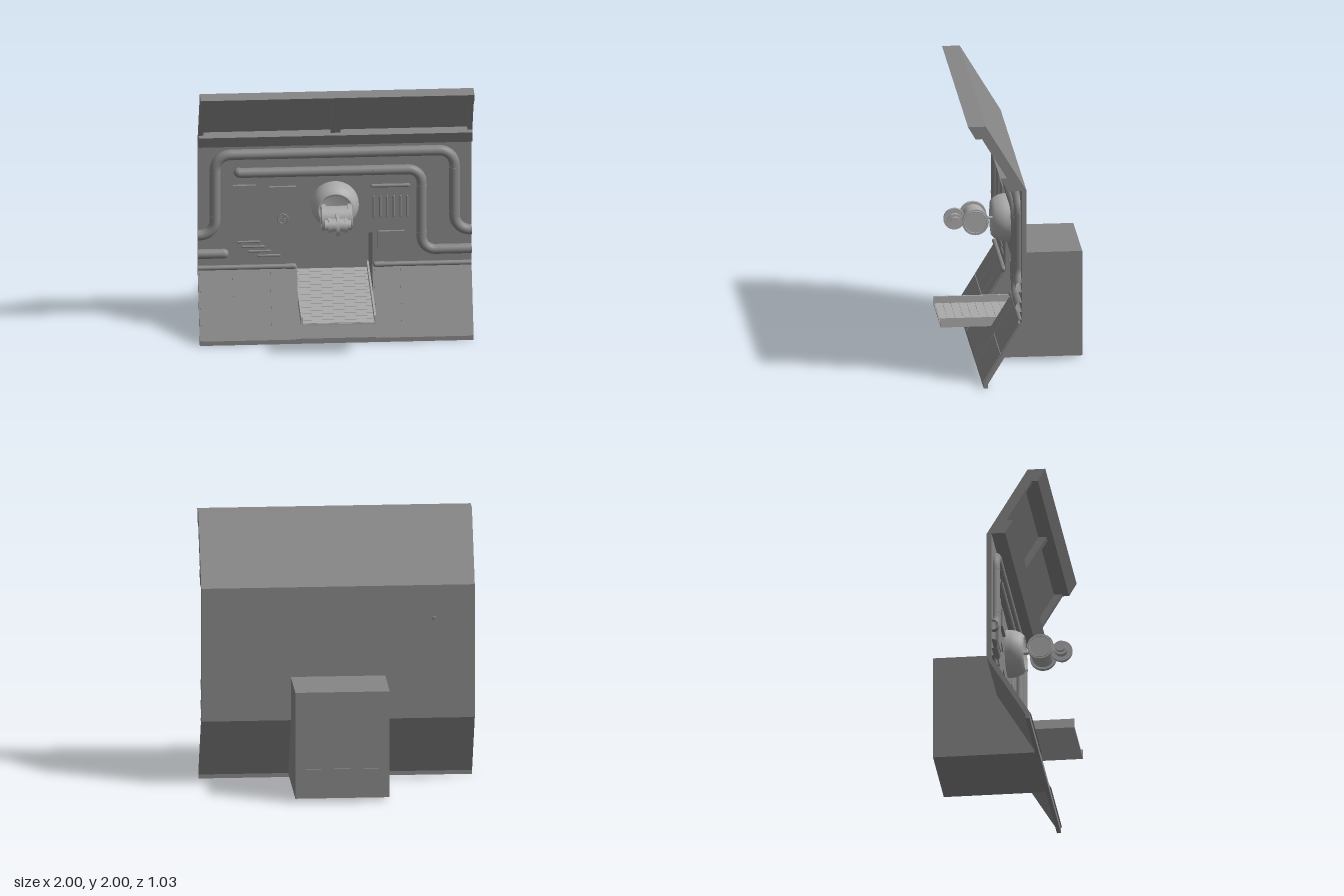
import * as THREE from 'three';

const paint = color => new THREE.MeshStandardMaterial({ color, side: THREE.DoubleSide });
const dark = paint(0x868686), light = paint(0xaaaaaa);

export function createModel() {
  const root = new THREE.Group();
  const add = (name, geo, x = 0, y = 0, z = 0, mat = dark) => {
    const m = new THREE.Mesh(geo, mat);
    m.name = name;
    m.position.set(x, y, z);
    root.add(m);
    return m;
  };
  // Extrude a [z, y] cross-section from x0 to x1
  const slab = (name, pts, x0, x1) => {
    const shape = new THREE.Shape(pts.map(([z, y]) => new THREE.Vector2(z, y)));
    const geo = new THREE.ExtrudeGeometry(shape, { depth: x1 - x0, bevelEnabled: false });
    return add(name, geo.rotateY(-Math.PI / 2).translate(x1, 0, 0));
  };
  const box = (name, x0, x1, y0, y1, z0, z1, mat) =>
    add(name, new THREE.BoxGeometry(x1 - x0, y1 - y0, z1 - z0), (x0 + x1) / 2, (y0 + y1) / 2, (z0 + z1) / 2, mat);

  // Front and back faces of the sloping lower wall
  const front = y => 0.27 - (y - 0.04) * 0.28 / 0.46;
  const back = y => 0.24 - (y - 0.03) * 0.285 / 0.47;
  const B = -0.045, F = -0.01, DOOR = 0.275, SILL = 0.247, HEAD = 0.752;

  // Main wall, left open around the alcove
  const wall = [[B, 1.5], [B, 0.5], [0.24, 0.03], [0.24, 0], [0.27, 0], [0.27, 0.04], [F, 0.5], [F, 1.5]];
  slab('wallRight', wall, -1, -DOOR);
  slab('wallLeft', wall, DOOR, 1);
  box('wallAboveAlcove', -DOOR, DOOR, HEAD, 1.5, B, F);
  slab('wallBelowAlcove', [[0.24, 0.03], [0.24, 0], [0.27, 0], [0.27, 0.04],
    [front(SILL), SILL], [back(SILL), SILL]], -DOOR, DOOR);

  // Alcove housing behind the wall
  const R = -0.515, W = 0.345;
  const cheek = [[B, 0.825], [R, 0.825], [R, 0.028], [0.24, 0.028], [B, 0.5]];
  slab('alcoveCheek', cheek, -W, -DOOR);
  slab('alcoveCheek', cheek, DOOR, W);
  box('alcoveRoof', -DOOR, DOOR, HEAD, 0.825, R, B);
  slab('alcoveBase', [[R, 0.028], [0.24, 0.028], [back(SILL), SILL], [R, SILL]], -DOOR, DOOR);
  box('alcoveBackPanel', -DOOR, DOOR, SILL, HEAD, R + 0.008, R + 0.015);

  // Slatted tray sliding out of the alcove
  box('trayFloor', -0.27, 0.27, 0.248, 0.262, -0.49, 0.515, light);
  for (const s of [-1, 1])
    box('trayLip', s * 0.268 - 0.007, s * 0.268 + 0.007, 0.248, 0.318, -0.49, 0.515, light);
  for (let i = 0; i < 17; i++) {
    const z = -0.488 + i * 0.059;
    box('traySlat', -0.261, 0.261, 0.262, 0.267, z, z + 0.054, light);
  }

  // Overhanging canopy: two beams, a recessed panel and three ribs
  const outer = y => B + (y - 1.5) * 0.6;
  slab('canopyTopBeam', [[outer(2), 2], [outer(1.905), 1.905], [0.33, 1.905], [0.385, 2]], -1, 1);
  slab('canopyBottomBeam', [[B, 1.5], [0.09, 1.5], [0.15, 1.6], [outer(1.6), 1.6]], -1, 1);
  const strip = t => [[outer(1.6), 1.6], [outer(1.6) + t, 1.6], [outer(1.905) + t, 1.905], [outer(1.905), 1.905]];
  slab('canopyPanel', strip(0.025), -0.965, 0.965);
  for (const [a, b] of [[-1, -0.965], [-0.035, 0.035], [0.965, 1]]) slab('canopyRib', strip(0.085), a, b);

  // Raised tiles on the lower slope
  const tile = (x0, x1, y0, y1) => {
    const g = 0.003, a = y0 + g, b = y1 - g, t = 0.008;
    slab('slopeTile', [[front(a) - 0.003, a], [front(a) + t, a], [front(b) + t, b], [front(b) - 0.003, b]], x0 + g, x1 - g);
  };
  const LOW = 0.035, MID = 0.257, TOP = 0.487;
  tile(-0.99, -0.75, MID, TOP);
  tile(-0.75, -0.475, MID, TOP);
  tile(-0.99, -0.475, LOW, MID);
  tile(-0.475, -0.295, LOW, TOP);
  tile(0.285, 0.475, LOW, TOP);
  tile(0.475, 0.99, MID, TOP);
  tile(0.475, 0.99, LOW, MID);

  // Pipe through [x, y] corners with rounded bends
  const pipe = (name, pts, r, bend) => {
    const v = pts.map(([x, y]) => new THREE.Vector3(x, y, 0));
    const path = new THREE.CurvePath();
    let from = v[0];
    for (let i = 1; i < v.length - 1; i++) {
      const d0 = v[i - 1].clone().sub(v[i]).normalize(), d1 = v[i + 1].clone().sub(v[i]).normalize();
      const p = v[i].clone().addScaledVector(d0, bend), q = v[i].clone().addScaledVector(d1, bend);
      const k = 0.55 * bend;
      path.add(new THREE.LineCurve3(from, p));
      path.add(new THREE.CubicBezierCurve3(p, p.clone().addScaledVector(d0, -k), q.clone().addScaledVector(d1, -k), q));
      from = q;
    }
    path.add(new THREE.LineCurve3(from, v[v.length - 1]));
    add(name, new THREE.TubeGeometry(path, v.length > 2 ? 180 : 2, r, 16));
  };
  const ball = (name, x, y, r, z = 0) => add(name, new THREE.SphereGeometry(r, 16, 12), x, y, z);
  const UP = 1.4, IN = 1.253, STUB = 0.614;
  pipe('upperPipe', [[-1, 0.765], [-0.875, 0.765], [-0.875, UP], [0.875, UP], [0.875, 0.765], [1, 0.765]], 0.039, 0.115);
  pipe('innerPipe', [[-0.7, IN], [0.635, IN], [0.635, STUB], [1, STUB]], 0.037, 0.1);
  ball('innerPipeEnd', -0.7, IN, 0.038, -0.011);
  pipe('stubPipe', [[-1, STUB], [-0.81, STUB]], 0.036, 0);
  ball('stubPipeEnd', -0.81, STUB, 0.036);

  // Thin collars at the pipe joints
  const collar = (x, y, r, upright) => {
    const m = add('pipeCollar', new THREE.CylinderGeometry(r, r, 0.008, 16), x, y, 0);
    if (!upright) m.rotation.z = Math.PI / 2;
  };
  for (const x of [-0.75, -0.55, 0.28, 0.75]) collar(x, UP, 0.041, false);
  for (const x of [-0.55, 0.28, 0.53]) collar(x, IN, 0.039, false);
  for (const s of [-1, 1]) for (const y of [0.915, 1.265]) collar(s * 0.875, y, 0.041, true);
  for (const y of [0.755, 1.125]) collar(0.635, y, 0.039, true);
  collar(0.77, STUB, 0.039, false);

  // Ledge rails with end knobs above the tiles
  for (const s of [-1, 1]) {
    pipe('ledgeRail', [[s, 0.502], [s * 0.33, 0.502]], 0.018, 0);
    pipe('ledgeSleeve', [[s * 0.36, 0.502], [s * 0.3, 0.502]], 0.021, 0);
    ball('ledgeKnob', s * 0.3, 0.502, 0.021);
  }

  // Flat wall plates
  box('tallPlate', -0.743, -0.573, 0.738, 1.155, F, 0.012);
  box('smallPlate', -0.477, -0.283, 0.998, 1.138, F, 0.012);
  box('lowerPlate', 0.315, 0.51, 0.625, 0.767, F, 0.012);

  // Rounded vent bars
  const bar = (name, x, y, len, r, upright) => {
    const m = add(name, new THREE.CapsuleGeometry(r, len - 2 * r, 4, 10), x, y, F);
    if (!upright) m.rotation.z = Math.PI / 2;
  };
  [[-0.63, 0.698], [-0.595, 0.66], [-0.55, 0.623], [-0.48, 0.587]].forEach(([x, y]) => bar('slantVent', x, y, 0.17, 0.009));
  for (let i = 0; i < 6; i++) bar('verticalVent', 0.285 + i * 0.049, 0.958, 0.175, 0.008, true);
  bar('ventHandle', 0.408, 1.123, 0.29, 0.014);

  // Valve wheel
  add('valveRim', new THREE.TorusGeometry(0.037, 0.006, 8, 24), -0.38, 0.88, 0);
  for (let i = 0; i < 4; i++)
    add('valveSpoke', new THREE.BoxGeometry(0.07, 0.009, 0.009), -0.38, 0.88, 0).rotation.z = i * Math.PI / 4;

  // Dome socket with a recessed front
  const ARM = 0.992;
  const dome = [[0.175, F], [0.175, 0.03], [0.168, 0.065], [0.15, 0.1], [0.13, 0.122], [0.12, 0.122], [0.105, 0.105], [0, 0.1]];
  add('domeSocket', new THREE.LatheGeometry(dome.map(([r, z]) => new THREE.Vector2(r, -z)), 40).rotateX(-Math.PI / 2), 0, ARM, 0, light);
  add('armRod', new THREE.CylinderGeometry(0.012, 0.012, 0.12, 12).rotateX(Math.PI / 2), 0, ARM, 0.14, light);

  // Two spools on crosswise axles
  const disc = (name, r, len, x, z) =>
    add(name, new THREE.CylinderGeometry(r, r, len, 32).rotateZ(Math.PI / 2), x, ARM, z, light);
  disc('rearDrum', 0.082, 0.18, 0, 0.245);
  for (const s of [-1, 1]) {
    disc('rearFlange', 0.098, 0.03, s * 0.095, 0.245);
    add('flangeRim', new THREE.TorusGeometry(0.083, 0.004, 8, 32).rotateY(Math.PI / 2), s * 0.11, ARM, 0.245, light);
    disc('frontCollar', 0.055, 0.02, s * 0.06, 0.39);
  }
  disc('frontAxle', 0.037, 0.19, 0, 0.39);
  disc('frontDrum', 0.047, 0.12, 0, 0.39);
  disc('frontDisc', 0.08, 0.024, 0, 0.39);
  return root;
}
